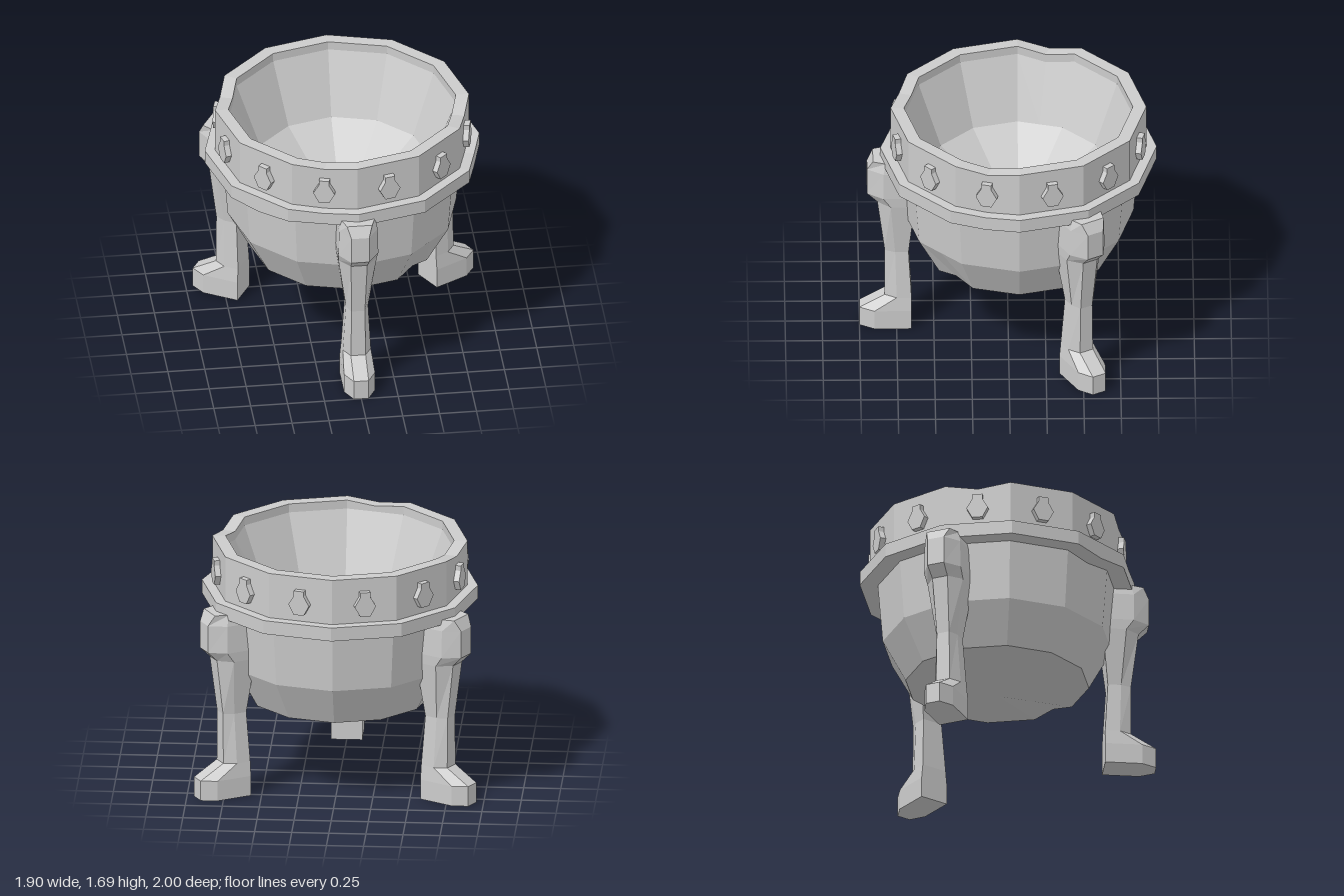
import * as THREE from 'three';

const CENTRE_Z = -0.07;
const material = new THREE.MeshStandardMaterial({ color: 0xcccccc, flatShading: true });

function makeMesh(name, geometry) {
  const flat = geometry.index ? geometry.toNonIndexed() : geometry;
  flat.computeVertexNormals();
  const mesh = new THREE.Mesh(flat, material);
  mesh.name = name;
  return mesh;
}

// Twelve-sided turned shape; every side has a middle vertex so that it can be dented.
// Each dent is [segment, profile indices, change in height].
function dentedLathe(name, profile, dents = []) {
  const geometry = new THREE.LatheGeometry(profile.map(([r, y]) => new THREE.Vector2(r, y)), 24);
  const p = geometry.attributes.position;
  const flatten = Math.cos(Math.PI / 12);
  for (let i = 0; i < p.count; i++) {
    const segment = Math.floor(i / profile.length);
    const row = i % profile.length;
    if (segment % 2) {
      p.setX(i, p.getX(i) * flatten);
      p.setZ(i, p.getZ(i) * flatten);
    }
    for (const [s, rows, dy] of dents) {
      if (s === segment && rows.includes(row)) p.setY(i, p.getY(i) + dy);
    }
  }
  return makeMesh(name, geometry);
}

// Leg from six-sided cross-sections: [y, front, shoulder, back, front half width, half width]
function legGeometry() {
  const rows = [
    [0, 1.07, 0.97, 0.72, 0.05, 0.105],
    [0.14, 1.07, 0.97, 0.72, 0.05, 0.105],
    [0.24, 0.9, 0.82, 0.72, 0.05, 0.095],
    [0.59, 0.9, 0.83, 0.74, 0.045, 0.075],
    [0.98, 0.95, 0.86, 0.7, 0.055, 0.13],
    [1.05, 1.02, 0.91, 0.7, 0.06, 0.135],
    [1.24, 1.02, 0.91, 0.7, 0.06, 0.13],
    [1.315, 0.98, 0.89, 0.7, 0.085, 0.115],
  ];
  const positions = [];
  for (const [y, front, shoulder, back, fw, w] of rows) {
    positions.push(fw, y, front, w, y, shoulder, w, y, back);
    positions.push(-w, y, back, -w, y, shoulder, -fw, y, front);
  }
  const index = [];
  for (let r = 0; r < rows.length - 1; r++) {
    for (let k = 0; k < 6; k++) {
      const a = r * 6 + k;
      const b = r * 6 + (k + 1) % 6;
      index.push(a, b, b + 6, a, b + 6, a + 6);
    }
  }
  const top = (rows.length - 1) * 6;
  for (let k = 1; k < 5; k++) {
    index.push(0, k + 1, k);
    index.push(top, top + k, top + k + 1);
  }
  const geometry = new THREE.BufferGeometry();
  geometry.setAttribute('position', new THREE.Float32BufferAttribute(positions, 3));
  geometry.setIndex(index);
  return geometry;
}

// Bell-shaped stud outline
function studGeometry() {
  const half = [[0.035, 0.085], [0.035, 0.05], [0.073, -0.015], [0.035, -0.085]];
  const outline = [...half, ...half.map(([x, y]) => [-x, y]).reverse()];
  const shape = new THREE.Shape(outline.map(([x, y]) => new THREE.Vector2(x, y)));
  return new THREE.ExtrudeGeometry(shape, { depth: 0.06, bevelEnabled: false });
}

export function createModel() {
  const model = new THREE.Group();
  model.name = 'cauldron';
  model.position.z = CENTRE_Z;

  // Outer bowl with a shallow pointed underside
  model.add(dentedLathe('bowl', [[0, 0.5], [0.62, 0.59], [0.775, 0.87], [0.81, 1.3]], [[3, [1], 0.03]]));

  // Flange below the rim
  model.add(dentedLathe('flange',
    [[0.78, 1.28], [0.93, 1.28], [0.93, 1.375], [0.84, 1.375]],
    [[21, [0, 1], -0.02], [5, [0, 1], -0.015], [5, [2, 3], -0.015], [23, [2, 3], -0.012]]));

  // Upright rim band, running over its lip into the inside of the bowl
  model.add(dentedLathe('rimAndInterior',
    [[0.86, 1.34], [0.86, 1.69], [0.77, 1.69], [0.77, 1.63], [0.6, 1.2], [0.27, 0.95], [0, 0.88]],
    [[5, [1, 2, 3], -0.035], [23, [1, 2], -0.02], [17, [1, 2, 3], -0.035]]));

  // One stud on each side of the rim
  const studs = new THREE.Group();
  studs.name = 'studs';
  for (let i = 0; i < 12; i++) {
    const stud = makeMesh('stud', studGeometry());
    const angle = (i + 0.5) * Math.PI / 6;
    stud.rotation.y = angle;
    stud.position.set(Math.sin(angle) * 0.81, 1.515, Math.cos(angle) * 0.81);
    studs.add(stud);
  }
  model.add(studs);

  // Three legs
  ['frontLeg', 'backLeftLeg', 'backRightLeg'].forEach((name, i) => {
    const leg = makeMesh(name, legGeometry());
    leg.rotation.y = i * Math.PI * 2 / 3;
    model.add(leg);
  });

  const root = new THREE.Group();
  root.name = 'model';
  root.add(model);
  return root;
}
